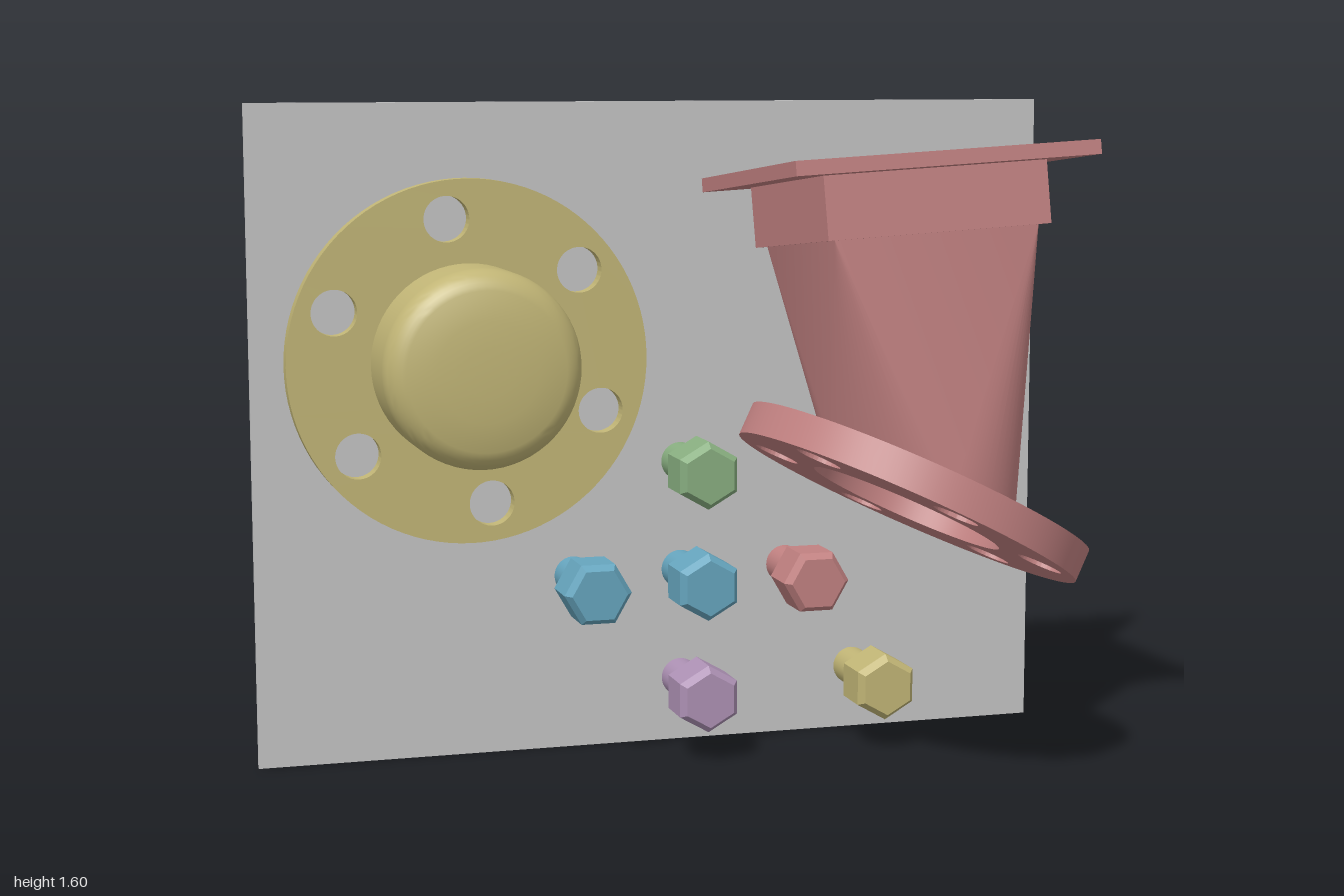
import * as THREE from 'three';
import { toCreasedNormals } from 'three/addons/utils/BufferGeometryUtils.js';

const WALL_Z = -0.431; // front face of the wall panel

function makeMaterial(name, color) {
  const m = new THREE.MeshStandardMaterial({ color });
  m.name = name;
  return m;
}

function addMesh(parent, name, geometry, material, x = 0, y = 0, z = 0) {
  const mesh = new THREE.Mesh(geometry, material);
  mesh.name = name;
  mesh.position.set(x, y, z);
  parent.add(mesh);
  return mesh;
}

// Round plate with a ring of six bolt holes and an optional bore, extruded along +z
function flangeGeometry(radius, depth, startDeg, bore) {
  const shape = new THREE.Shape().absarc(0, 0, radius, 0, Math.PI * 2, false);
  const cut = (x, y, r) =>
    shape.holes.push(new THREE.Path().absarc(x, y, r, 0, Math.PI * 2, true));
  for (let i = 0; i < 6; i++) {
    const a = THREE.MathUtils.degToRad(startDeg + i * 60);
    cut(0.346 * Math.cos(a), 0.346 * Math.sin(a), 0.055);
  }
  if (bore) cut(0, 0, bore);
  const g = new THREE.ExtrudeGeometry(shape, { depth, bevelEnabled: false, curveSegments: 48 });
  return toCreasedNormals(g, 0.6);
}

// Duct wall from a square opening to a circle lying in a tilted plane
function squareToRoundGeometry(half, topY, radius, bottomY, tilt, steps = 16) {
  const corner = (q) => {
    const a = Math.PI / 4 + (q * Math.PI) / 2;
    return [half * Math.SQRT2 * Math.cos(a), topY, half * Math.SQRT2 * Math.sin(a)];
  };
  const rim = (a) => {
    const u = radius * Math.cos(a);
    return [u * Math.cos(tilt), bottomY + u * Math.sin(tilt), radius * Math.sin(a)];
  };
  const pos = [];
  for (let q = 0; q < 4; q++) {
    const start = (q * Math.PI) / 2;
    // cone-shaped corner
    for (let i = 0; i < steps; i++) {
      const a = start + (i / steps) * (Math.PI / 2);
      const b = start + ((i + 1) / steps) * (Math.PI / 2);
      pos.push(...corner(q), ...rim(b), ...rim(a));
    }
    // flat triangular side
    pos.push(...corner(q), ...corner(q + 1), ...rim(start + Math.PI / 2));
  }
  const g = new THREE.BufferGeometry();
  g.setAttribute('position', new THREE.Float32BufferAttribute(pos, 3));
  return toCreasedNormals(g, 0.3);
}

function makeBolt(name, x, y, turn, material) {
  const bolt = new THREE.Group();
  bolt.name = name;
  // chamfered hexagonal head
  const profile = [[0, 0], [0.068, 0], [0.083, 0.02], [0.083, 0.125], [0.068, 0.145], [0, 0.145]]
    .map(([r, h]) => new THREE.Vector2(r, h));
  const head = new THREE.LatheGeometry(profile, 6).toNonIndexed();
  head.computeVertexNormals();
  head.rotateX(Math.PI / 2);
  addMesh(bolt, 'boltHead', head, material, 0, 0, -0.301).rotation.z = turn;
  // shank into the wall
  const length = -0.3 - WALL_Z;
  const shank = new THREE.CylinderGeometry(0.047, 0.047, length, 32).rotateX(Math.PI / 2);
  addMesh(bolt, 'boltShank', shank, material, 0, 0, WALL_Z + length / 2);
  bolt.position.set(x, y, 0);
  return bolt;
}

function makeCappedPipe(material) {
  const g = new THREE.Group();
  g.name = 'cappedPipe';
  addMesh(g, 'pipeFlange', flangeGeometry(0.4375, 0.04, 38.5), material, 0, 0, -0.367);
  // pipe with a shallow domed end
  const pts = [new THREE.Vector2(0.237, WALL_Z), new THREE.Vector2(0.237, -0.18)];
  for (let i = 1; i <= 8; i++) {
    const a = (i / 8) * 1.3;
    pts.push(new THREE.Vector2(0.172 + 0.065 * Math.cos(a), -0.18 + 0.065 * Math.sin(a)));
  }
  pts.push(new THREE.Vector2(0.12, -0.107), new THREE.Vector2(0.06, -0.104), new THREE.Vector2(0, -0.103));
  const pipe = toCreasedNormals(new THREE.LatheGeometry(pts, 64), 0.5).rotateX(Math.PI / 2);
  addMesh(g, 'domedPipe', pipe, material);
  g.position.set(-0.49, 0.985, 0);
  return g;
}

function makeDuct(material, innerMaterial) {
  const g = new THREE.Group();
  g.name = 'ductFitting';
  const tilt = -Math.PI / 6;
  addMesh(g, 'topPlate', new THREE.BoxGeometry(0.735, 0.034, 0.735), material, 0, -0.017, 0);
  addMesh(g, 'squareCollar', new THREE.BoxGeometry(0.545, 0.148, 0.545), material, 0, -0.107, 0);
  addMesh(g, 'taperedBody', squareToRoundGeometry(0.25, -0.181, 0.25, -0.76, tilt), innerMaterial);
  // slanted round flange, its upper face at the end of the body
  const flange = flangeGeometry(0.4365, 0.08, 28, 0.24);
  flange.translate(0, 0, -0.08).rotateX(-Math.PI / 2);
  addMesh(g, 'slantedFlange', flange, material, 0.004, -0.76, 0).rotation.z = tilt;
  g.position.set(0.485, 1.466, -0.068);
  g.rotation.set(-0.096, 0, 0.057);
  return g;
}

export function createModel() {
  const model = new THREE.Group();
  model.name = 'wallFittings';
  const grey = makeMaterial('panel grey', 0xc4c4c4);
  const red = makeMaterial('dusty red', 0xc18181);
  const yellow = makeMaterial('straw yellow', 0xc1b576);
  const blue = makeMaterial('soft blue', 0x66a5be);
  const green = makeMaterial('soft green', 0x88ae80);
  const purple = makeMaterial('soft purple', 0xad91b4);
  const redTwoSided = makeMaterial('dusty red two sided', 0xc18181);
  redTwoSided.side = THREE.DoubleSide;

  addMesh(model, 'wallPanel', new THREE.BoxGeometry(2, 1.6, 0.013), grey, 0, 0.8, WALL_Z - 0.0065);
  model.add(makeCappedPipe(yellow), makeDuct(red, redTwoSided));

  // bolts: position, turn of the head, colour
  const side = Math.PI / 6;
  const bolts = [
    ['greenBolt', 0.06, 0.71, 0, green],
    ['centreBlueBolt', 0.06, 0.437, 0, blue],
    ['outerBlueBolt', -0.215, 0.435, side, blue],
    ['redBolt', 0.335, 0.435, side, red],
    ['purpleBolt', 0.06, 0.16, 0, purple],
    ['yellowBolt', 0.517, 0.16, 0, yellow],
  ];
  for (const b of bolts) model.add(makeBolt(...b));
  return model;
}
